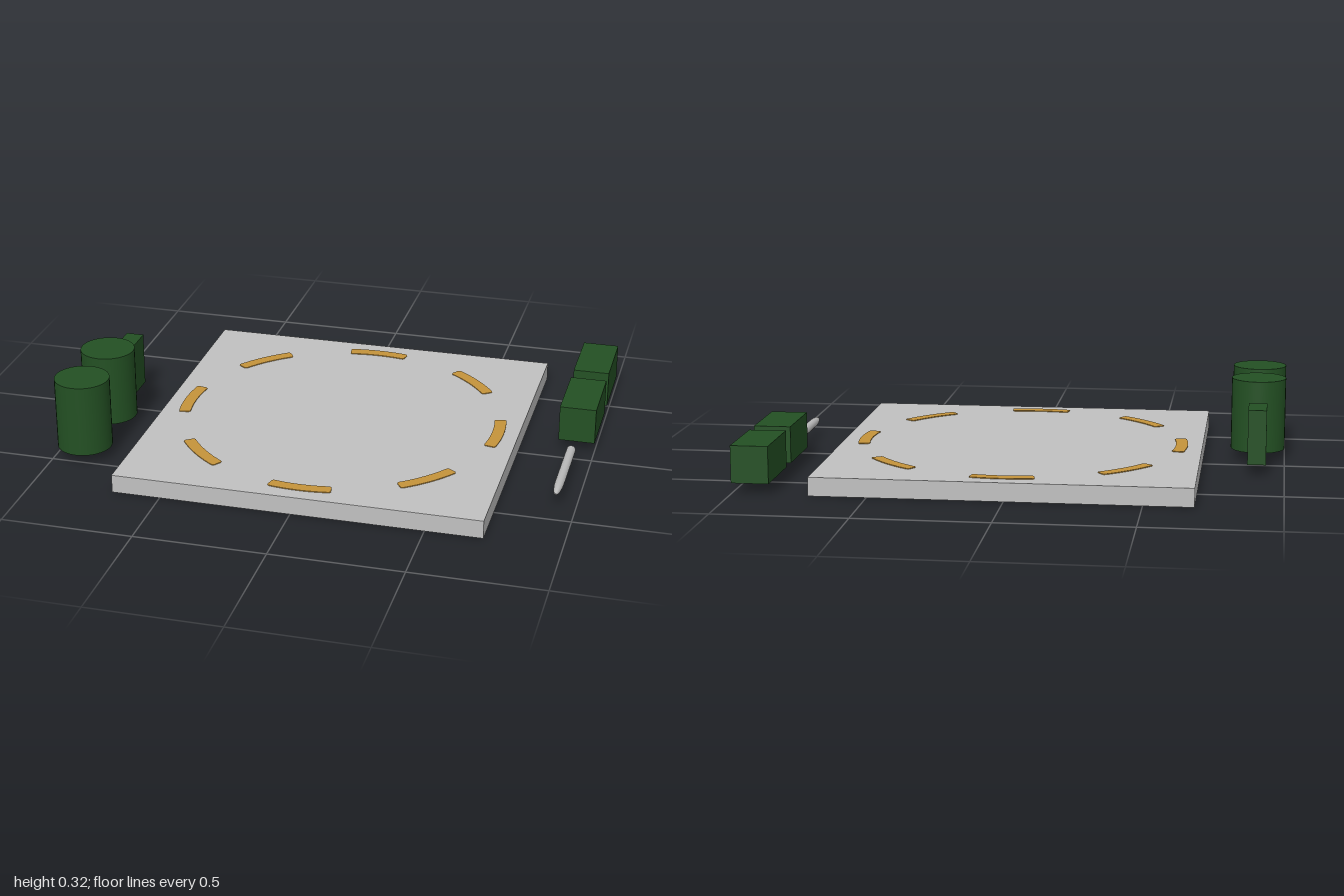
import * as THREE from 'three';

export function createModel() {
  const model = new THREE.Group();
  const mat = (name, color) => {
    const m = new THREE.MeshStandardMaterial({ color });
    m.name = name;
    return m;
  };
  const concrete = mat('concrete grey', 0xc0c0c0);
  const green = mat('dark green', 0x235023);
  const ochre = mat('ochre paint', 0xc4933b);
  const metal = mat('metal grey', 0xbababa);

  const add = (name, geometry, material, x, y, z) => {
    const mesh = new THREE.Mesh(geometry, material);
    mesh.name = name;
    mesh.position.set(x, y, z);
    model.add(mesh);
    return mesh;
  };

  // Square pad
  const padX = 0.015, padTop = 0.07;
  add('pad', new THREE.BoxGeometry(1.4, padTop, 1.4), concrete, padX, padTop / 2, 0);

  // Painted ring of eight curved dashes with rounded corners
  const inner = 0.597, outer = 0.643, half = 0.19, cut = 0.018;
  const at = (r, a) => [r * Math.cos(a), r * Math.sin(a)];
  const dash = new THREE.Shape();
  dash.absarc(0, 0, outer, -half + cut, half - cut, false);
  dash.quadraticCurveTo(...at(outer, half), ...at(outer - 0.011, half));
  dash.lineTo(...at(inner + 0.011, half));
  dash.quadraticCurveTo(...at(inner, half), ...at(inner, half - cut));
  dash.absarc(0, 0, inner, half - cut, -half + cut, true);
  dash.quadraticCurveTo(...at(inner, -half), ...at(inner + 0.011, -half));
  dash.lineTo(...at(outer - 0.011, -half));
  dash.quadraticCurveTo(...at(outer, -half), ...at(outer, -half + cut));
  const dashGeometry = new THREE.ExtrudeGeometry(dash, { depth: 0.003, bevelEnabled: false, curveSegments: 10 });
  dashGeometry.rotateX(-Math.PI / 2);
  for (let i = 0; i < 8; i++) {
    add('ringDash', dashGeometry, ochre, padX, padTop, 0).rotation.y = i * Math.PI / 4;
  }

  // Upright drums on the right side
  const drum = new THREE.CylinderGeometry(0.105, 0.105, 0.28, 32);
  for (const z of [0.14, 0.42]) add('drum', drum, green, -0.895, 0.18, z);

  // Small canister behind the drums
  add('canister', new THREE.BoxGeometry(0.07, 0.21, 0.14), green, -0.895, 0.145, -0.1);

  // Crates on the left side
  const crate = new THREE.BoxGeometry(0.14, 0.14, 0.28);
  for (const z of [-0.56, -0.21]) add('crate', crate, green, 0.93, 0.11, z);

  // Pointed rod lying in front of the crates, nose forwards
  const r = 0.0175;
  const profile = [[0, 0], [r, 0], [r, 0], [r, 0.28], [r * 0.94, 0.31], [r * 0.76, 0.34], [r * 0.45, 0.363], [0, 0.375]]
    .map(([x, y]) => new THREE.Vector2(x, y));
  const rod = new THREE.LatheGeometry(profile, 16);
  rod.rotateX(Math.PI / 2);
  add('rod', rod, metal, 0.925, 0.0555, 0.035);

  return model;
}
